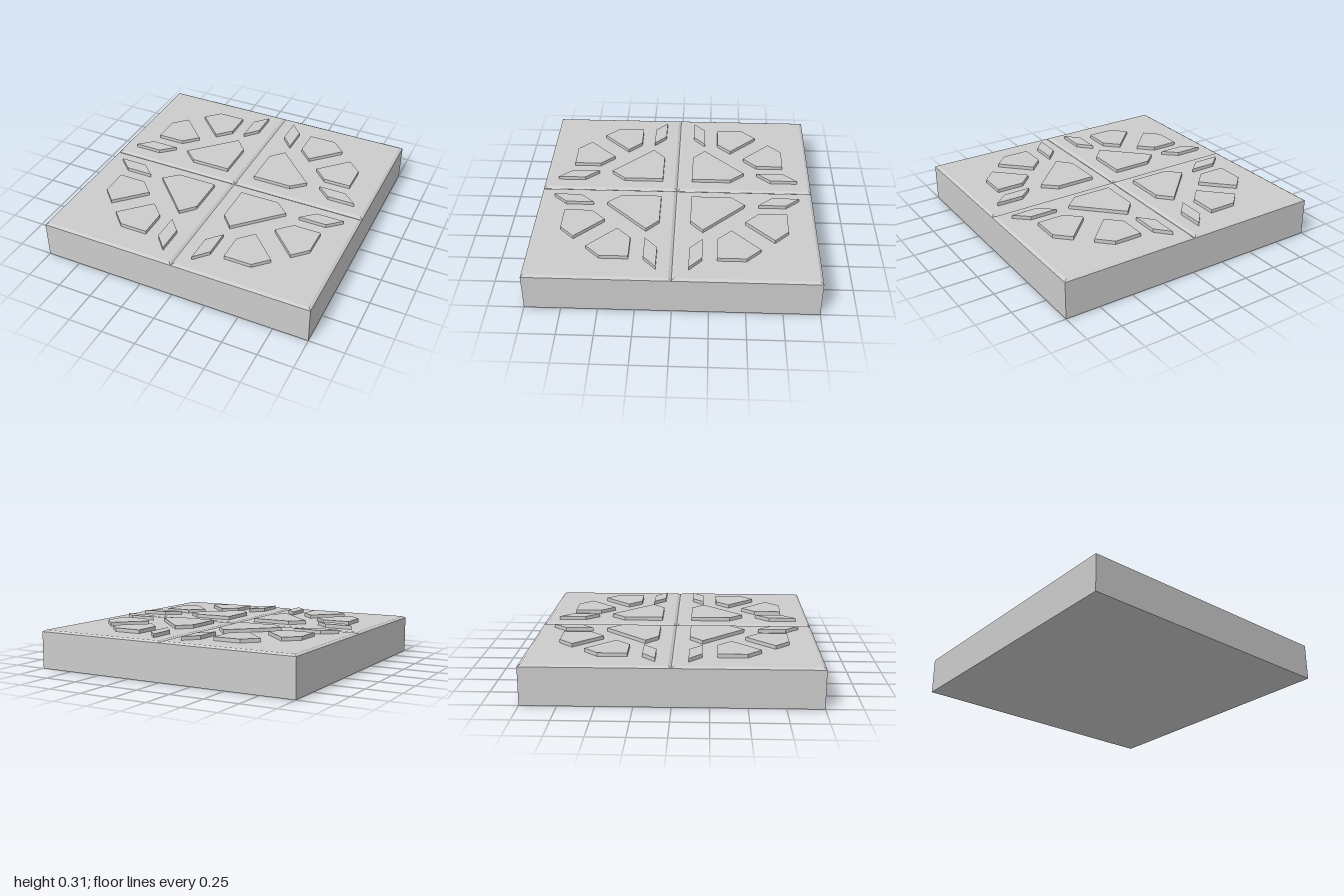
import * as THREE from 'three';

const BASE_TOP = 0.267, TILE_TOP = 0.279, RELIEF_TOP = 0.305, BEVEL = 0.02;

// Outlines [x, z] of the raised pieces in one quadrant
const CENTRE = [[0.11, 0.11], [0.4, 0.11], [0.5, 0.2], [0.2, 0.5], [0.11, 0.4]];
const PETAL = [[0.3, 0.8], [0.5, 0.8], [0.6, 0.7], [0.4, 0.5], [0.3, 0.6]];
const SLIVER = [[0.2, 0.6], [0.11, 0.7], [0.11, 0.9], [0.2, 0.8]];
const swap = (points) => points.map(([x, z]) => [z, x]);

export function createModel() {
  const model = new THREE.Group();
  model.name = 'patternedFloorSlab';
  const material = new THREE.MeshStandardMaterial({ color: 0xcccccc, flatShading: true });

  const add = (parent, name, geometry, x, y, z) => {
    const mesh = new THREE.Mesh(geometry, material);
    mesh.name = name;
    mesh.position.set(x, y, z);
    parent.add(mesh);
  };

  // Solid slab
  add(model, 'base', new THREE.BoxGeometry(2, BASE_TOP, 2), 0, BASE_TOP / 2, 0);

  // Bevelled tile top: a shallow square frustum
  const tileHeight = TILE_TOP - BASE_TOP;
  const tile = new THREE.CylinderGeometry(
    (0.5 - BEVEL) * Math.SQRT2, 0.5 * Math.SQRT2, tileHeight, 4).rotateY(Math.PI / 4);

  // Flat raised piece, mirrored into the quadrant given by the signs
  const relief = (points, sx, sz) => {
    const shape = new THREE.Shape(points.map(([x, z]) => new THREE.Vector2(x * sx, z * sz)));
    return new THREE.ExtrudeGeometry(shape, { depth: RELIEF_TOP - TILE_TOP, bevelEnabled: false })
      .rotateX(Math.PI / 2);
  };

  const pieces = [
    ['centrePiece', CENTRE],
    ['petal', PETAL], ['petal', swap(PETAL)],
    ['sliver', SLIVER], ['sliver', swap(SLIVER)],
  ];

  // Four mirrored quadrants
  for (const sx of [-1, 1]) {
    for (const sz of [-1, 1]) {
      const quadrant = new THREE.Group();
      quadrant.name = `${sz > 0 ? 'front' : 'back'}${sx > 0 ? 'Left' : 'Right'}Quadrant`;
      add(quadrant, 'tile', tile, sx * 0.5, BASE_TOP + tileHeight / 2, sz * 0.5);
      for (const [name, points] of pieces) {
        add(quadrant, name, relief(points, sx, sz), 0, RELIEF_TOP, 0);
      }
      model.add(quadrant);
    }
  }
  return model;
}
